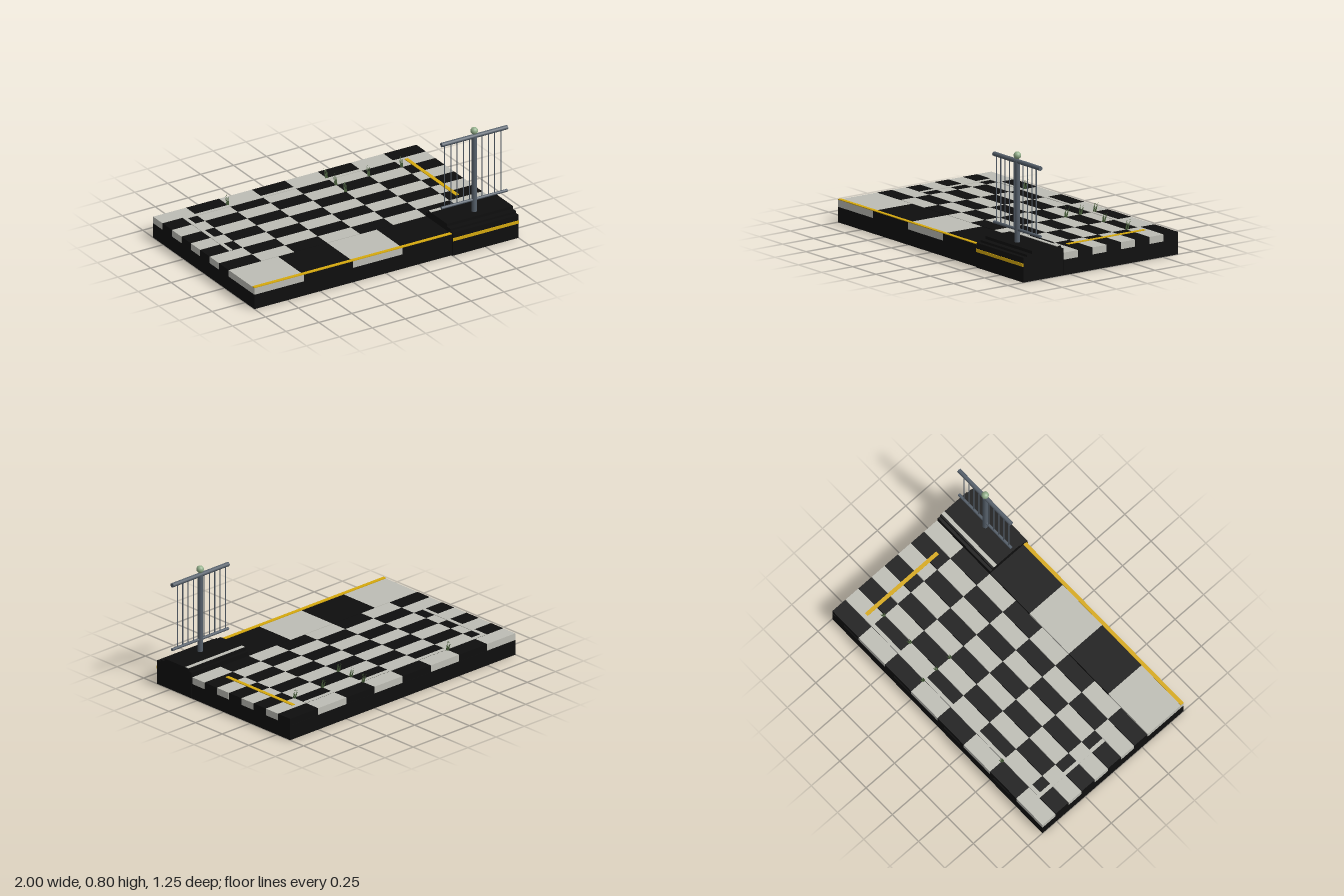
import * as THREE from 'three';

const mat = (name, color, side = THREE.FrontSide) => {
  const m = new THREE.MeshStandardMaterial({ color, side });
  m.name = name;
  return m;
};

export function createModel() {
  const root = new THREE.Group();
  root.name = 'checkeredPlatform';
  const black = mat('black stone', 0x0e0e0e);
  const pale = mat('pale stone', 0xbdbdb5);
  const yellow = mat('yellow paint', 0xd6a90e);
  const steel = mat('blue grey steel', 0x56606b);
  const glass = mat('pale green globe', 0x94b08c);
  const green = mat('grass green', 0x48603a, THREE.DoubleSide);

  const group = (name) => {
    const g = new THREE.Group();
    g.name = name;
    root.add(g);
    return g;
  };
  // Box given by its limits on each axis
  const box = (parent, name, m, x0, x1, y0, y1, z0, z1) => {
    const mesh = new THREE.Mesh(new THREE.BoxGeometry(x1 - x0, y1 - y0, z1 - z0), m);
    mesh.position.set((x0 + x1) / 2, (y0 + y1) / 2, (z0 + z1) / 2);
    mesh.name = name;
    parent.add(mesh);
  };
  const rod = (parent, name, r, length, x, y, z, sides, alongX = false) => {
    const mesh = new THREE.Mesh(new THREE.CylinderGeometry(r, r, length, sides), steel);
    mesh.position.set(x, y, z);
    if (alongX) mesh.rotation.z = Math.PI / 2;
    mesh.name = name;
    parent.add(mesh);
  };

  // Foundation slabs
  const base = group('foundation');
  box(base, 'courtSlab', black, -1, 1, 0, 0.103, -0.625, 0.296);
  box(base, 'walkSlab', black, -1, 0.5, 0, 0.103, 0.3, 0.615);

  // Checkered court, eight by eight
  const court = group('courtTiles');
  const depth = 0.921 / 8, gap = 0.0015;
  for (let row = 0; row < 8; row++) {
    for (let col = 0; col < 8; col++) {
      const x = -1 + col * 0.25, z = -0.625 + row * depth;
      box(court, 'courtTile', (row + col) % 2 ? black : pale,
        x, x + 0.25, 0.103, 0.15, z + gap, z + depth - gap);
    }
  }

  // Large tiles of the front walk
  const walk = group('walkTiles');
  for (let i = 0; i < 4; i++) {
    const x = -1 + i * 0.375;
    box(walk, 'walkTile', i % 2 ? black : pale, x, x + 0.375, 0.103, 0.15, 0.3, 0.615);
  }

  // Painted lines
  const lines = group('paintedLines');
  box(lines, 'walkEdgeLine', yellow, -1, 0.5, 0.15, 0.155, 0.59, 0.615);
  box(lines, 'courtSideLine', yellow, 0.82, 0.846, 0.15, 0.154, -0.48, 0.145);
  box(lines, 'courtBackLine', pale, -0.85, 0.75, 0.15, 0.153, -0.51, -0.484);
  box(lines, 'courtLeftLine', pale, -0.85, -0.824, 0.15, 0.153, -0.484, 0.065);

  // Stepped plinth
  const plinth = group('plinth');
  box(plinth, 'plinthBase', black, 0.5, 1, 0, 0.165, 0.3, 0.625);
  box(plinth, 'plinthMiddle', black, 0.5, 1, 0.165, 0.18, 0.3, 0.595);
  box(plinth, 'plinthTop', black, 0.5, 1, 0.18, 0.2, 0.32, 0.555);
  box(plinth, 'plinthFrontStripe', yellow, 0.5, 1, 0.105, 0.126, 0.625, 0.63);
  box(plinth, 'plinthTopStripe', pale, 0.5, 1, 0.2, 0.204, 0.332, 0.358);

  // Railing with a globe on the post
  const railing = group('railing');
  const rz = 0.485;
  rod(railing, 'post', 0.0185, 0.54, 0.75, 0.47, rz, 12);
  rod(railing, 'topRail', 0.015, 0.5, 0.75, 0.737, rz, 10, true);
  rod(railing, 'bottomRail', 0.01, 0.5, 0.75, 0.284, rz, 10, true);
  for (let i = 0; i < 10; i++) {
    rod(railing, 'bar', 0.0038, 0.453, 0.525 + i * 0.0475, 0.51, rz, 6);
  }
  const globe = new THREE.Mesh(new THREE.SphereGeometry(0.025, 16, 12), glass);
  globe.position.set(0.75, 0.776, rz);
  globe.name = 'globe';
  railing.add(globe);

  // Grass tufts growing from the joints, leaning backward
  const blade = new THREE.ConeGeometry(0.0045, 1, 4);
  blade.translate(0, 0.5, 0);
  const spots = [[-0.5, -0.515], [0.25, -0.515], [0.25, -0.4], [0.25, -0.282], [0.5, -0.4], [0.75, -0.4]];
  spots.forEach(([x, z]) => {
    const tuft = group('grassTuft');
    tuft.position.set(x, 0.148, z);
    for (let i = 0; i < 6; i++) {
      const a = i * 1.05;
      const b = new THREE.Mesh(blade, green);
      b.scale.y = 0.055 + (i % 3) * 0.011;
      b.position.set(Math.cos(a) * 0.006, 0, Math.sin(a) * 0.007);
      b.rotation.set(-0.24 + Math.sin(a) * 0.1, 0, -Math.cos(a) * 0.05);
      b.name = 'grassBlade';
      tuft.add(b);
    }
  });

  return root;
}
